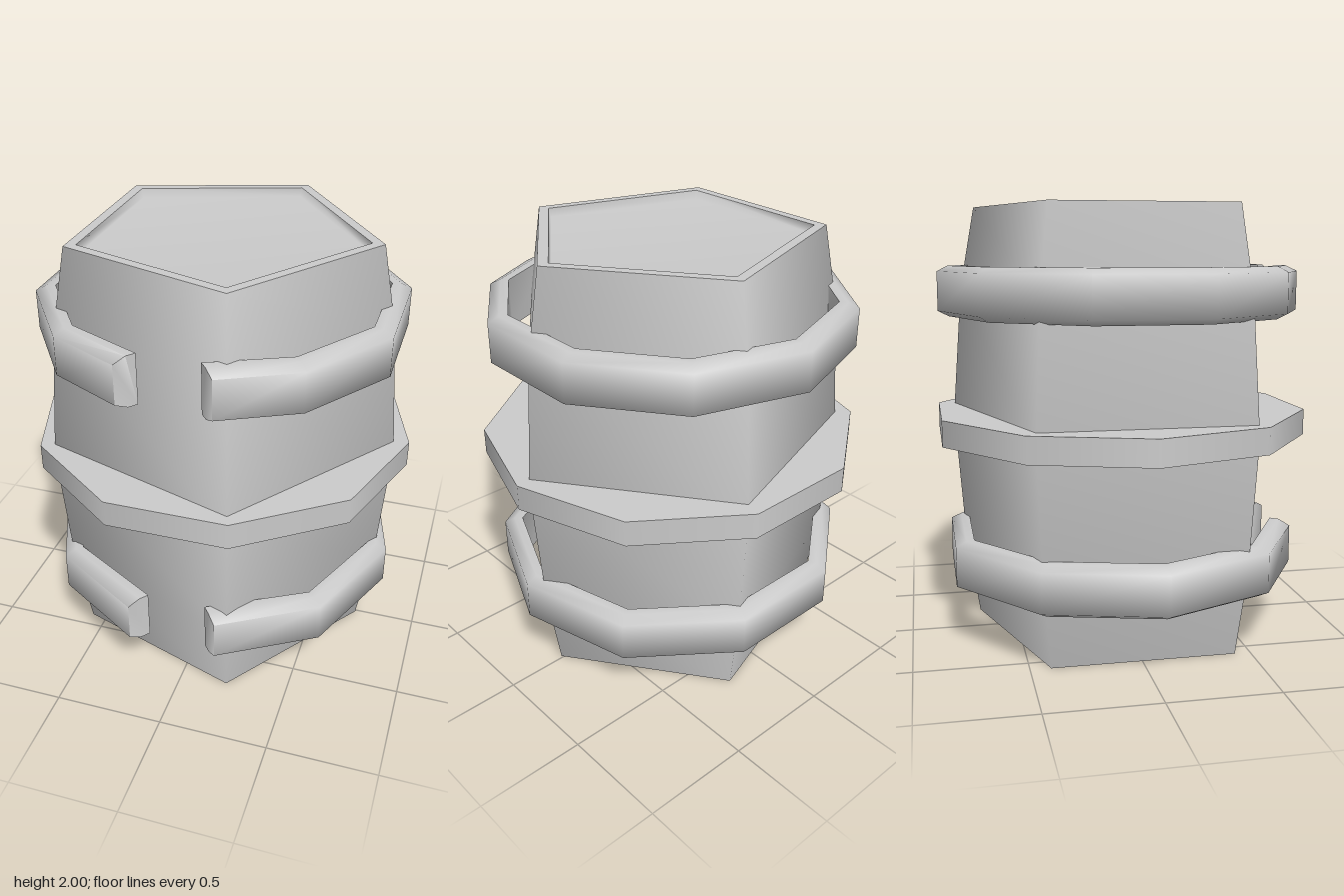
import * as THREE from 'three';
import { toCreasedNormals } from 'three/addons/utils/BufferGeometryUtils.js';

const material = new THREE.MeshStandardMaterial({ color: 0xcccccc });
const rad = THREE.MathUtils.degToRad;

// Smooth lathe with few sides, first corner on +x
function lathe(name, sides, profile) {
  const points = profile.map(([r, y]) => new THREE.Vector2(r, y));
  const mesh = new THREE.Mesh(new THREE.LatheGeometry(points, sides, Math.PI / 2), material);
  mesh.name = name;
  return mesh;
}

// Split hoop: a bevelled strap section swept around the y axis, open at the front
function splitHoop(name, y, angles) {
  const section = [[0.75, -0.115], [0.79, -0.115], [0.84, -0.09], [0.84, 0.09], [0.79, 0.115], [0.75, 0.115]];
  const n = section.length, last = angles.length - 1;
  const positions = [], index = [];
  angles.forEach((angle, i) => {
    // the two end cuts lean a little away from the gap
    const lean = i === 0 ? 1 : i === last ? -1 : 0;
    for (const [r, h] of section) {
      const t = rad(angle + lean * (r - 0.75) * 40);
      positions.push(r * Math.sin(t), y + h, r * Math.cos(t));
    }
  });
  for (let i = 0; i < last; i++) {
    for (let j = 0; j < n; j++) {
      const a = i * n + j, b = i * n + (j + 1) % n;
      index.push(a, a + n, b + n, a, b + n, b);
    }
  }
  for (let j = 1; j < n - 1; j++) {
    index.push(0, j, j + 1, last * n, last * n + j + 1, last * n + j);
  }
  const geometry = new THREE.BufferGeometry();
  geometry.setAttribute('position', new THREE.Float32BufferAttribute(positions, 3));
  geometry.setIndex(index);
  const mesh = new THREE.Mesh(toCreasedNormals(geometry, 1.45), material);
  mesh.name = name;
  return mesh;
}

export function createModel() {
  const model = new THREE.Group();
  model.name = 'barrel';

  // Five-sided bulging body with shallow dished lids
  const body = new THREE.Group();
  body.name = 'body';
  body.position.z = 0.01;
  body.add(
    lathe('staves', 5, [[0.71, 0], [0.772, 0.38], [0.82, 1], [0.772, 1.62], [0.7, 2]]),
    lathe('topRim', 5, [[0.7, 2], [0.645, 2]]),
    lathe('topLid', 5, [[0.645, 2], [0.635, 1.96], [0, 1.96]]),
    lathe('bottomRim', 5, [[0.65, 0], [0.71, 0]]),
    lathe('bottomLid', 5, [[0, 0.04], [0.64, 0.04], [0.65, 0]]),
  );
  model.add(body);

  // Ten-sided flat ring around the middle
  const ring = new THREE.Group();
  ring.name = 'middleRing';
  ring.add(
    lathe('ringUnderside', 10, [[0.6, 0.94], [0.885, 0.94]]),
    lathe('ringEdge', 10, [[0.885, 0.94], [0.885, 1.06]]),
    lathe('ringTop', 10, [[0.885, 1.06], [0.6, 1.06]]),
  );
  model.add(ring);

  // Two hoops, each with a gap at the front
  const gap = 10.3;
  const upper = [gap, 39, 72, 108, 144, 180, 216, 252, 288, 321, 360 - gap];
  const lower = Array.from({ length: 10 }, (_, i) => gap + i * (360 - 2 * gap) / 9);
  model.add(splitHoop('upperHoop', 1.615, upper), splitHoop('lowerHoop', 0.385, lower));

  return model;
}
